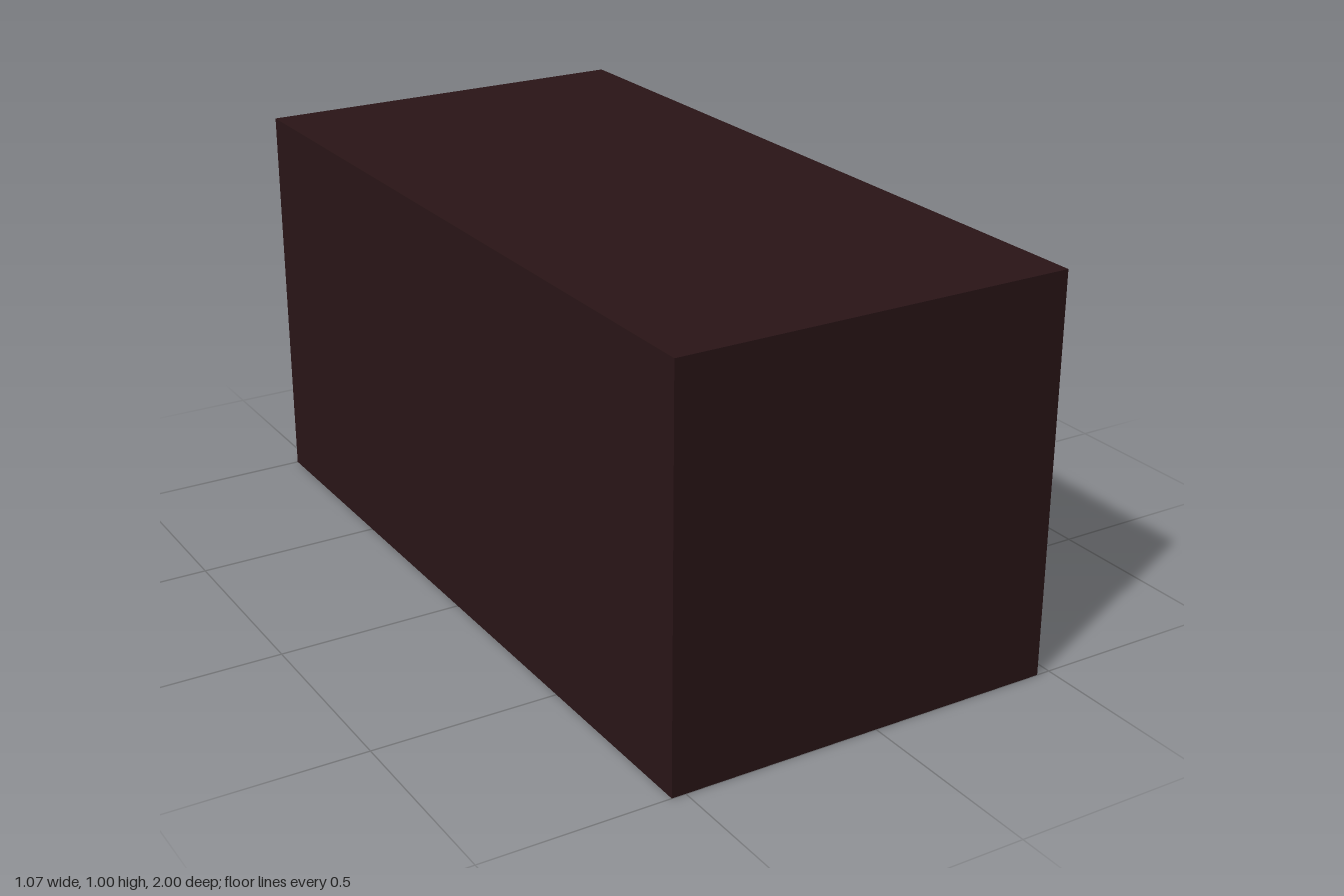
import * as THREE from 'three';

const FRONT = 0.465, BACK = -0.535;   // x of the open side and of the closed side
const wood = new THREE.MeshStandardMaterial({ color: 0x2a1517, side: THREE.DoubleSide });
const metal = new THREE.MeshStandardMaterial({ color: 0xcccccc, flatShading: true });

// Flat panel perpendicular to an axis; a and b are ranges along the other two axes (in x, y, z order)
function panel(parent, name, axis, at, [a0, a1], [b0, b1]) {
  const geo = new THREE.PlaneGeometry(1, 1);
  const a = (a0 + a1) / 2, b = (b0 + b1) / 2, w = a1 - a0, h = b1 - b0;
  if (axis === 'x') geo.scale(h, w, 1).rotateY(Math.PI / 2).translate(at, a, b);
  if (axis === 'y') geo.scale(w, h, 1).rotateX(-Math.PI / 2).translate(a, at, b);
  if (axis === 'z') geo.scale(w, h, 1).translate(a, b, at);
  const mesh = new THREE.Mesh(geo, wood);
  mesh.name = name;
  parent.add(mesh);
}

// Recess behind an opening in the open side; without a floor when it reaches the ground
function niche(parent, name, z, y, depth) {
  const g = new THREE.Group();
  g.name = name;
  const x = [FRONT - depth, FRONT];
  panel(g, 'nicheBack', 'x', x[0], y, z);
  panel(g, 'nicheTop', 'y', y[1], x, z);
  if (y[0] > 0) panel(g, 'nicheFloor', 'y', y[0], x, z);
  for (const side of z) panel(g, 'nicheSide', 'z', side, x, y);
  parent.add(g);
}

function rectPath(z, y) {
  return new THREE.Path([[z[0], y[0]], [z[0], y[1]], [z[1], y[1]], [z[1], y[0]]]
    .map(([pz, py]) => new THREE.Vector2(-pz, py)));
}

export function createModel() {
  const desk = new THREE.Group();
  desk.name = 'desk';

  // Outer shell, open underneath
  const X = [BACK, FRONT], Y = [0, 1], Z = [-1, 1];
  panel(desk, 'deskTop', 'y', 1, X, Z);
  panel(desk, 'backPanel', 'x', BACK, Y, Z);
  panel(desk, 'leftEnd', 'z', 1, X, Y);
  panel(desk, 'rightEnd', 'z', -1, X, Y);
  panel(desk, 'legBottom', 'y', 0, X, [0.92, 1]);

  // Openings
  const knee = { z: [-0.225, 0.92], y: [0, 0.88] };
  const drawer = { z: [-0.92, -0.3], y: [0.535, 0.88] };
  const shelf = { z: [-0.92, -0.3], y: [0.08, 0.46] };

  // Face with the kneehole notch and two cut-outs
  const face = new THREE.Shape([[-1, 0], [-0.92, 0], [-0.92, 0.88], [0.225, 0.88],
    [0.225, 0], [1, 0], [1, 1], [-1, 1]].map(p => new THREE.Vector2(...p)));
  face.holes.push(rectPath(drawer.z, drawer.y), rectPath(shelf.z, shelf.y));
  const faceMesh = new THREE.Mesh(
    new THREE.ShapeGeometry(face).rotateY(Math.PI / 2).translate(FRONT, 0, 0), wood);
  faceMesh.name = 'faceFrame';
  desk.add(faceMesh);

  niche(desk, 'kneehole', knee.z, knee.y, 0.87);
  niche(desk, 'shelfCompartment', shelf.z, shelf.y, 0.8);
  niche(desk, 'drawerRecess', drawer.z, drawer.y, 0.025);

  // Drawer front set inside its recess
  const front = new THREE.Mesh(new THREE.BoxGeometry(0.02, 0.315, 0.56), wood);
  front.name = 'drawerFront';
  front.position.set(FRONT - 0.015, 0.708, -0.61);
  desk.add(front);

  // Bracket handle with chamfered corners: half profile (x, distance from middle), mirrored
  const half = [[0.455, 0.15], [0.508, 0.15], [0.508, 0.15]].slice(0, 2);
  const outer = [[0.515, 0.18], [0.53, 0.168]];
  const mirror = pts => pts.map(([x, d]) => [x, -d]).reverse();
  const profile = [...half, ...mirror(half), [0.455, -0.18],
    ...outer.map(([x, d]) => [x, -d]), ...[...outer].reverse(), [0.455, 0.18]];
  const shape = new THREE.Shape(profile.map(([x, d]) => new THREE.Vector2(x, d)));
  const handleGeo = new THREE.ExtrudeGeometry(shape, { depth: 0.09, bevelEnabled: false });
  const handle = new THREE.Mesh(handleGeo.rotateX(-Math.PI / 2).translate(0, 0.665, -0.6), metal);
  handle.name = 'drawerHandle';
  desk.add(handle);

  return desk;
}
